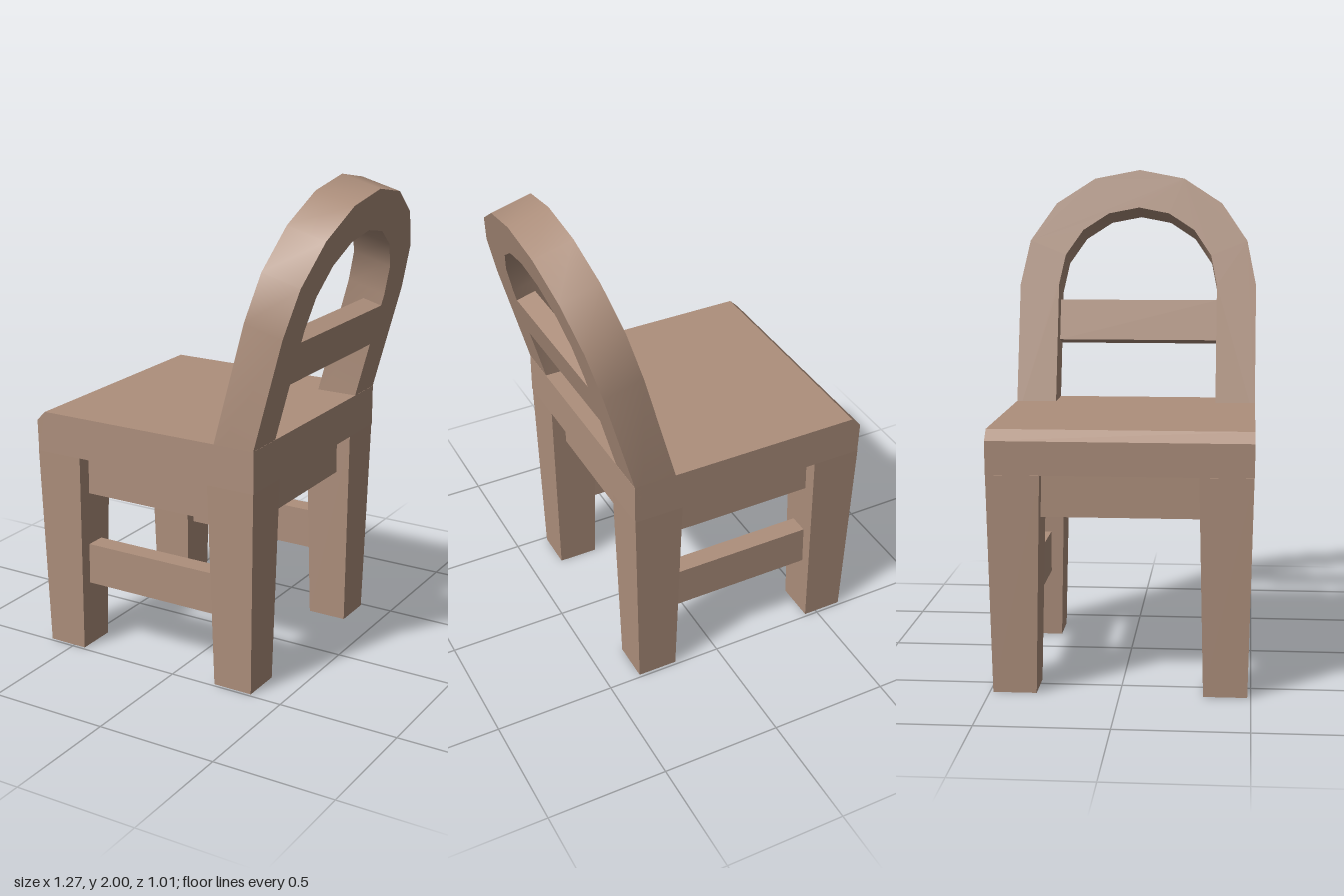
import * as THREE from 'three';
import { toCreasedNormals } from 'three/addons/utils/BufferGeometryUtils.js';

const wood = new THREE.MeshStandardMaterial({ color: 0xad8f7c });
wood.name = 'wood';

const HALF_X = 0.635, HALF_Z = 0.507;
const SEAT_BOTTOM = 0.85, SEAT_TOP = 1.02;
const BACK_X = 0.38;   // rear edge of the seat
const BAR = 0.083;     // thickness of aprons, stretchers and rail

function add(parent, name, geometry, x = 0, y = 0, z = 0) {
  const mesh = new THREE.Mesh(geometry, wood);
  mesh.name = name;
  mesh.position.set(x, y, z);
  parent.add(mesh);
  return mesh;
}

// Leg that narrows towards the floor on all four sides
function legGeometry() {
  const g = new THREE.BoxGeometry(0.205, SEAT_BOTTOM, 0.205);
  const p = g.attributes.position;
  const taper = 0.168 / 0.205;
  for (let i = 0; i < p.count; i++) {
    if (p.getY(i) < 0) {
      p.setX(i, p.getX(i) * taper);
      p.setZ(i, p.getZ(i) * taper);
    }
  }
  g.computeVertexNormals();
  return g;
}

// Seat slab with a chamfered front edge
function seatGeometry() {
  const s = new THREE.Shape();
  s.moveTo(-HALF_X + 0.003, SEAT_BOTTOM);
  s.lineTo(BACK_X, SEAT_BOTTOM);
  s.lineTo(BACK_X, SEAT_TOP);
  s.lineTo(-HALF_X + 0.04, SEAT_TOP);
  s.lineTo(-HALF_X, SEAT_TOP - 0.04);
  s.closePath();
  const g = new THREE.ExtrudeGeometry(s, { depth: 2 * HALF_Z, bevelEnabled: false });
  return g.translate(0, 0, -HALF_Z);
}

// Arched frame, open at the bottom where it sinks into the seat
function archGeometry(depth) {
  const outer = HALF_Z, inner = 0.34, spring = 0.508, foot = -0.08;
  const s = new THREE.Shape();
  s.moveTo(outer, foot);
  s.lineTo(outer, spring);
  s.absarc(0, spring, outer, 0, Math.PI, false);
  s.lineTo(-outer, foot);
  s.lineTo(-inner, foot);
  s.lineTo(-inner, spring);
  s.absarc(0, spring, inner, Math.PI, 0, true);
  s.lineTo(inner, foot);
  s.closePath();
  const g = new THREE.ExtrudeGeometry(s, { depth, bevelEnabled: false, curveSegments: 4 });
  return toCreasedNormals(g.rotateY(Math.PI / 2), 0.5);
}

export function createModel() {
  const chair = new THREE.Group();
  chair.name = 'chair';

  add(chair, 'seat', seatGeometry());

  // Legs
  const frontX = -0.532, rearX = 0.276, legZ = 0.403;
  const leg = legGeometry();
  for (const side of [1, -1]) {
    add(chair, 'frontLeg', leg, frontX, SEAT_BOTTOM / 2, side * legZ);
    add(chair, 'rearLeg', leg, rearX, SEAT_BOTTOM / 2, side * legZ);
  }

  // Aprons under the seat and stretchers between the legs
  const spanX = rearX - frontX, midX = (rearX + frontX) / 2;
  const sideBar = new THREE.BoxGeometry(spanX, 0.173, BAR);
  const crossBar = new THREE.BoxGeometry(BAR, 0.173, 2 * legZ);
  for (const side of [1, -1]) {
    add(chair, 'sideApron', sideBar, midX, 0.767, side * legZ);
    add(chair, 'sideStretcher', sideBar, midX, 0.369, side * legZ);
  }
  add(chair, 'frontApron', crossBar, frontX, 0.767, 0);
  add(chair, 'rearApron', crossBar, rearX, 0.767, 0);

  // Reclined backrest with a rail flush with its rear face
  const backrest = new THREE.Group();
  backrest.name = 'backrest';
  backrest.position.set(0.205, SEAT_TOP, 0);
  backrest.rotation.z = -THREE.MathUtils.degToRad(15.1);
  const depth = 0.168;
  add(backrest, 'archFrame', archGeometry(depth));
  add(backrest, 'backRail', new THREE.BoxGeometry(BAR, 0.176, 0.68), depth - BAR / 2, 0.371, 0);
  chair.add(backrest);

  return chair;
}
